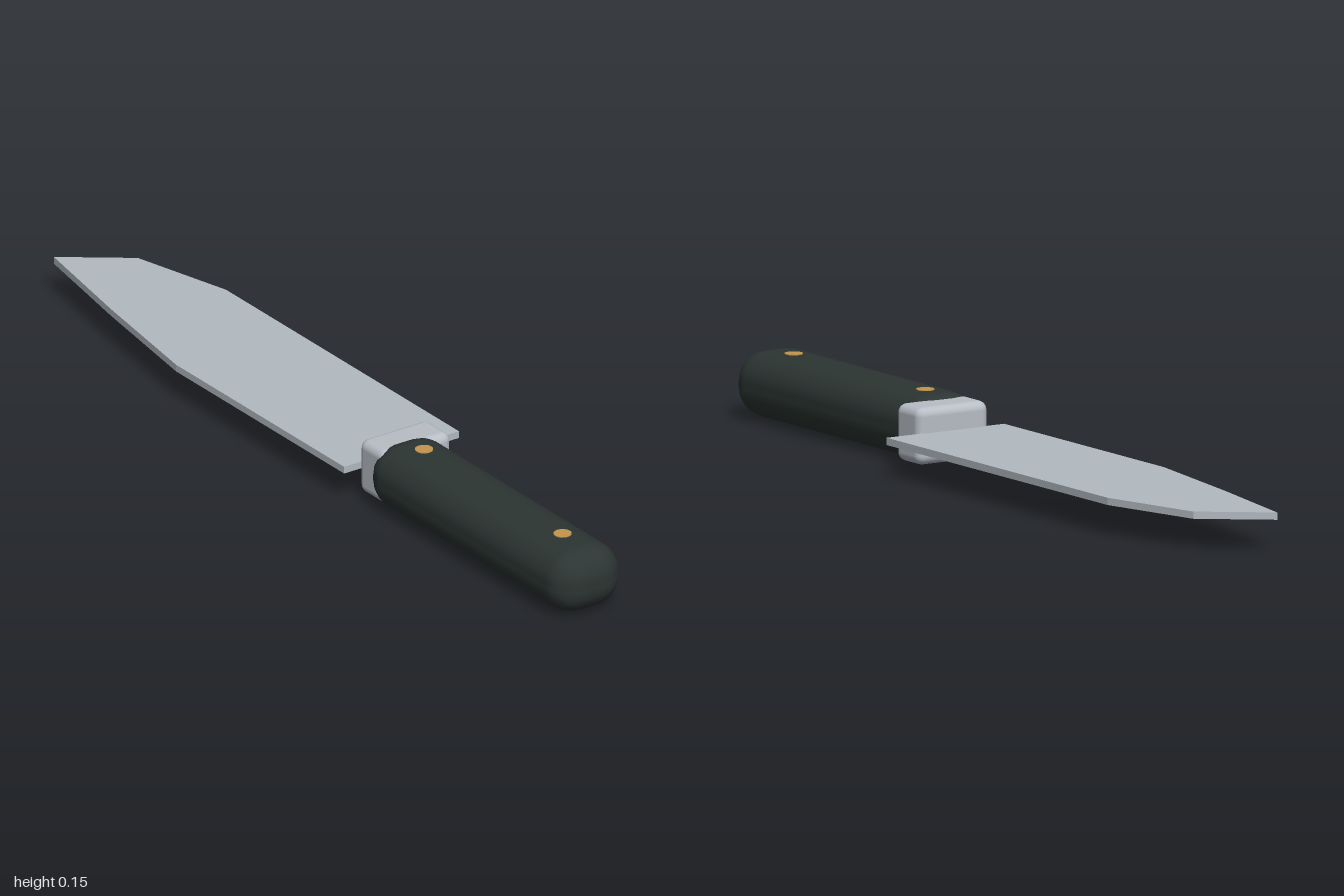
import * as THREE from 'three';
import { RoundedBoxGeometry } from 'three/addons/geometries/RoundedBoxGeometry.js';

function material(name, color) {
  const m = new THREE.MeshStandardMaterial({ color });
  m.name = name;
  return m;
}

export function createModel() {
  const group = new THREE.Group();
  group.name = 'knife';
  const steel = material('blade steel', 0xb2bac0);
  const bolsterSteel = material('bolster steel', 0xb8bec6);
  const darkGrip = material('dark grip', 0x2c3533);
  const brass = material('brass', 0xc4964e);

  const add = (name, geometry, mat, x, y, z) => {
    const mesh = new THREE.Mesh(geometry, mat);
    mesh.name = name;
    mesh.position.set(x, y, z);
    group.add(mesh);
  };

  // Flat blade: outline in x and z, laid down with its thickness along y
  const outline = [
    [-1, 0.055], [-0.89, -0.09], [-0.65, -0.153], [0.215, -0.153],
    [0.215, 0.152], [-0.41, 0.152], [-0.72, 0.105],
  ].map(([x, z]) => new THREE.Vector2(x, z));
  const thickness = 0.016;
  const blade = new THREE.ExtrudeGeometry(new THREE.Shape(outline), { depth: thickness, bevelEnabled: false });
  blade.translate(0, 0, -thickness / 2);
  blade.rotateX(Math.PI / 2);
  add('blade', blade, steel, 0, 0.075, 0);

  // Collar between blade and handle
  add('bolster', new RoundedBoxGeometry(0.095, 0.126, 0.184, 3, 0.02), bolsterSteel, 0.258, 0.075, 0.02);

  // Rounded grip
  add('handle', new RoundedBoxGeometry(0.75, 0.146, 0.179, 3, 0.066), darkGrip, 0.625, 0.075, 0.0425);

  // Rivets running through the grip
  for (const x of [0.355, 0.87]) {
    add('rivet', new THREE.CylinderGeometry(0.02, 0.02, 0.15, 16), brass, x, 0.075, 0.04);
  }
  return group;
}
